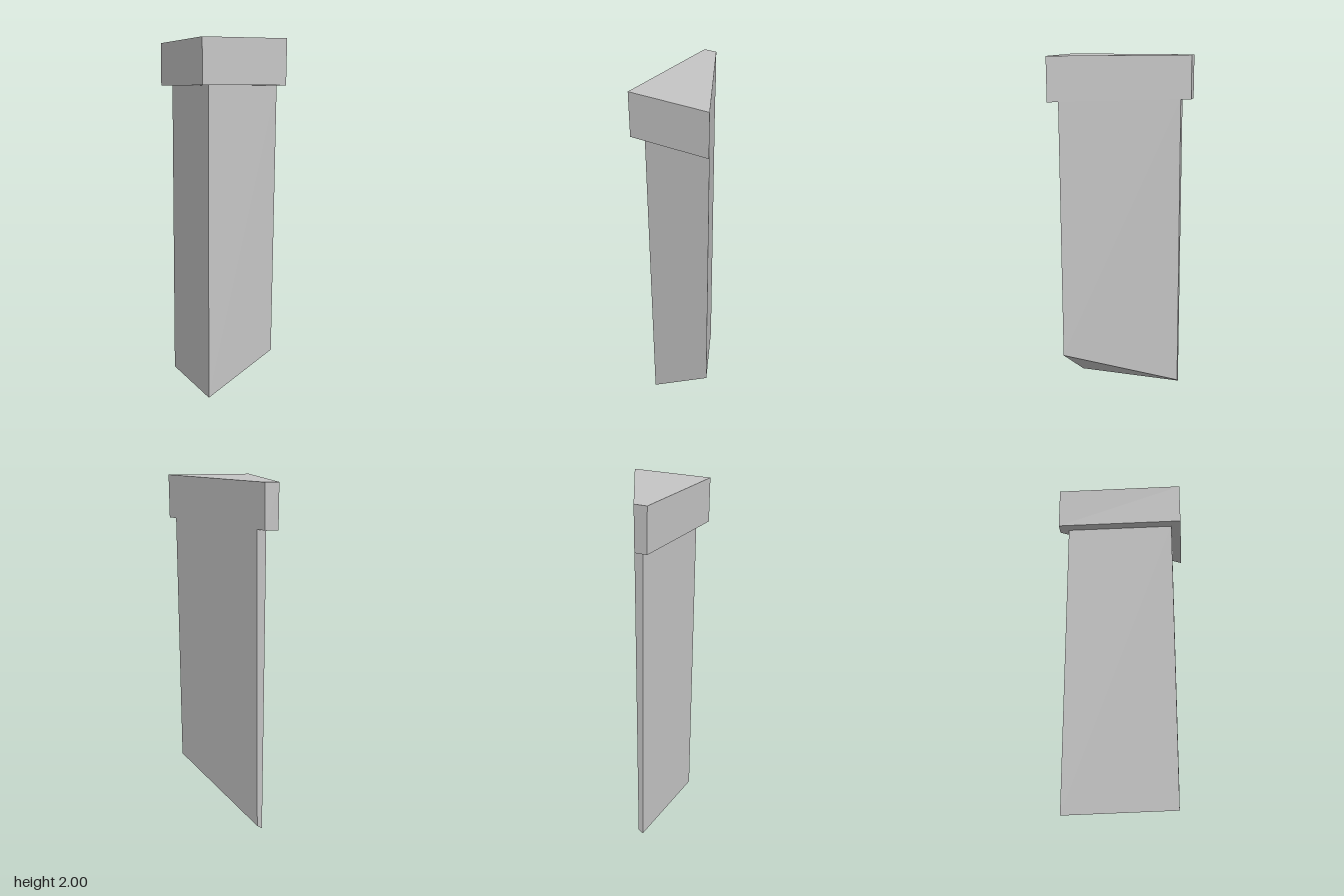
import * as THREE from 'three';

// Slightly leaning diagonal side shared by cap and shaft: x at a given height and depth
const diagonalX = (y, z) => 0.243 + (z - 0.365) * 0.56 - (2 - y) * 0.0135;

// Four corners of a cross-section, counter-clockwise seen from above; heightAt(x, z) sets y
function section(left, depth, heightAt) {
  const corner = (z) => {
    let y = heightAt(0, z);
    for (let i = 0; i < 8; i++) y = heightAt(diagonalX(y, z), z);
    return [diagonalX(y, z), y, z];
  };
  return [
    [left, heightAt(left, depth), depth],
    corner(depth),
    corner(-depth),
    [left, heightAt(left, -depth), -depth],
  ];
}

// Closed four-sided prism between two cross-sections, with hard edges
function prism(bottom, top) {
  const points = [];
  const quad = (a, b, c, d) => points.push(...a, ...b, ...c, ...a, ...c, ...d);
  for (let i = 0; i < 4; i++) {
    const j = (i + 1) % 4;
    quad(bottom[i], bottom[j], top[j], top[i]);
  }
  quad(...top);
  quad(...[...bottom].reverse());
  const geometry = new THREE.BufferGeometry();
  geometry.setAttribute('position', new THREE.Float32BufferAttribute(points, 3));
  geometry.computeVertexNormals();
  return geometry;
}

export function createModel() {
  const model = new THREE.Group();
  model.name = 'wedgePost';
  const grey = new THREE.MeshStandardMaterial({ color: 0xc4c4c4 });
  grey.name = 'plain grey';

  const add = (name, geometry) => {
    const mesh = new THREE.Mesh(geometry, grey);
    mesh.name = name;
    model.add(mesh);
  };

  // Wider head block
  add('cap', prism(section(-0.243, 0.365, () => 1.75), section(-0.243, 0.365, () => 2)));

  // Long shaft, cut off at a slant at the foot
  const slant = (x, z) => 0.625 * (x + 0.19) + 0.024 * (z + 0.31);
  add('shaft', prism(section(-0.19, 0.31, slant), section(-0.19, 0.31, () => 1.75)));

  return model;
}
